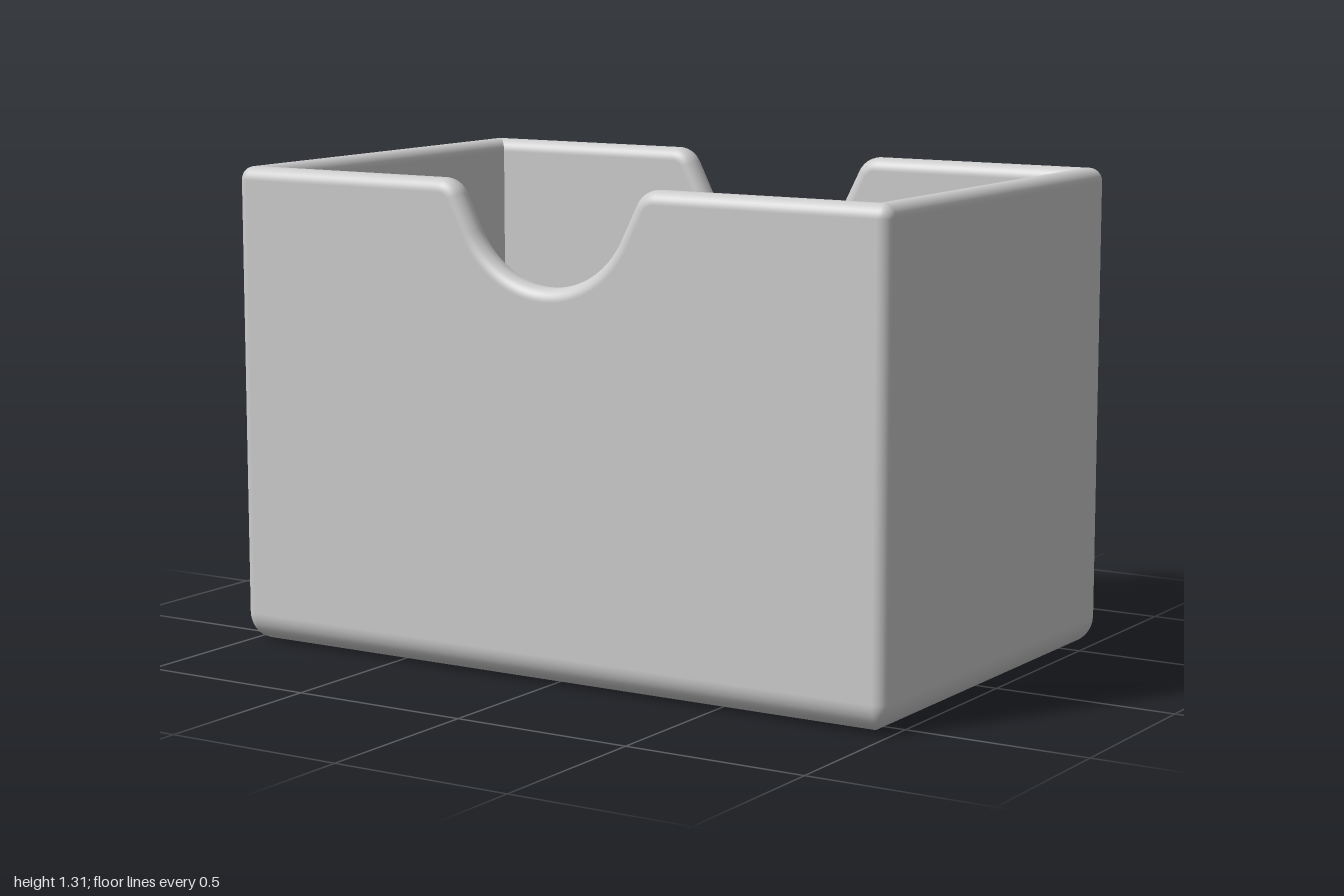
import * as THREE from 'three';

// Overall sizes: half width, half depth, height, wall, floor
const HW = 1, HD = 0.612, H = 1.31, WALL = 0.077, FLOOR = 0.08;
// Rounding radii: upright edges, rim, underside, inner floor
const EDGE = 0.035, RIM = 0.036, UNDER = 0.08, INNER = 0.025;
const HALF_PI = Math.PI / 2;

// Thumb notch from right to left: points on the rim with their normals
function notchPoints() {
  const slope = THREE.MathUtils.degToRad(63);
  const R = 0.25, r = 0.07, cy = 1.293;
  // Place the lip's centre so that a straight slope is tangent to both arcs
  const lipY = H - r;
  const dy = lipY + r * Math.cos(slope) - (cy - R * Math.cos(slope));
  const lipX = R * Math.sin(slope) + dy / Math.tan(slope) + r * Math.sin(slope);
  const right = [];
  for (let i = 0; i <= 10; i++) {
    const a = slope * i / 10, nx = -Math.sin(a), ny = Math.cos(a);
    right.push({ x: lipX + nx * r, y: lipY + ny * r, nx, ny });
  }
  for (let i = 0; i <= 20; i++) {
    const a = slope * (1 - i / 20), nx = -Math.sin(a), ny = Math.cos(a);
    right.push({ x: -nx * R, y: cy - ny * R, nx, ny });
  }
  const left = right.slice(0, -1).reverse().map(p => ({ ...p, x: -p.x, nx: -p.nx }));
  return [...right, ...left];
}

// Stations around the box; at(d, h) gives x, z for an inset d and a depth h under the rim
function makeStations() {
  const stations = [];
  const notch = notchPoints();
  for (let k = 0; k < 4; k++) {
    const sx = k === 0 || k === 3 ? 1 : -1, sz = k < 2 ? 1 : -1;
    // Rounded upright edge, turning into a mitre further in
    for (let i = 0; i <= 6; i++) {
      const phi = (k + i / 6) * HALF_PI, ox = Math.cos(phi), oz = Math.sin(phi);
      stations.push({
        ox, oz, rimY: H, nx: 0, ny: 1,
        at: d => {
          const arc = Math.max(EDGE - d, 0), inset = EDGE + Math.max(d - EDGE, 0);
          return [sx * (HW - inset) + ox * arc, sz * (HD - inset) + oz * arc];
        },
      });
    }
    // Notch in the front and back walls
    if (k % 2 === 0) {
      for (const p of notch) {
        stations.push({
          ox: 0, oz: sz, rimY: p.y, nx: sz * p.nx, ny: p.ny,
          at: (d, h) => [sz * (p.x - p.nx * h), sz * (HD - d)],
        });
      }
    }
  }
  return stations;
}

// Wall profile from the underside over the rim to the floor.
// d: inset, y: fixed height or h: depth under the rim, out/up: normal
function makeProfile() {
  const rows = [{ centre: true, y: 0, out: 0, up: -1 }];
  for (let i = 0; i <= 8; i++) {
    const t = HALF_PI * (i / 8 - 1), c = Math.cos(t), s = Math.sin(t);
    rows.push({ d: UNDER * (1 - c), y: UNDER * (1 + s), out: c, up: s });
  }
  for (let i = 0; i <= 16; i++) {
    const t = Math.PI * i / 16, c = Math.cos(t), s = Math.sin(t);
    const d = i <= 8 ? RIM * (1 - c) : WALL - RIM * (1 + c);
    rows.push({ d, h: RIM * (1 - s), out: c, up: s });
  }
  for (let i = 0; i <= 5; i++) {
    const t = HALF_PI * i / 5, c = Math.cos(t), s = Math.sin(t);
    rows.push({ d: WALL + INNER * (1 - c), y: FLOOR + INNER * (1 - s), out: -c, up: s });
  }
  rows.push({ centre: true, y: FLOOR, out: 0, up: 1 });
  return rows;
}

function makeTray() {
  const stations = makeStations(), rows = makeProfile();
  const position = [], normal = [], index = [];
  const n = stations.length;
  for (const row of rows) {
    const onRim = row.h !== undefined;
    for (const s of stations) {
      const h = onRim ? row.h : RIM;
      const [x, z] = row.centre ? [0, 0] : s.at(row.d, h);
      position.push(x, onRim ? s.rimY - s.ny * h : row.y, z);
      const ux = onRim ? s.nx : 0, uy = onRim ? s.ny : 1;
      normal.push(s.ox * row.out + ux * row.up, uy * row.up, s.oz * row.out);
    }
  }
  // Join neighbouring rows, leaving out the faces that collapse at mitres and centres
  const a = new THREE.Vector3(), b = new THREE.Vector3(), c = new THREE.Vector3();
  const addFace = (i, j, k) => {
    a.fromArray(position, i * 3);
    b.fromArray(position, j * 3).sub(a);
    c.fromArray(position, k * 3).sub(a);
    if (b.cross(c).length() > 1e-9) index.push(i, j, k);
  };
  for (let r = 0; r < rows.length - 1; r++) {
    for (let i = 0; i < n; i++) {
      const j = (i + 1) % n, lo = r * n, hi = lo + n;
      addFace(lo + i, hi + i, lo + j);
      addFace(lo + j, hi + i, hi + j);
    }
  }
  const geometry = new THREE.BufferGeometry();
  geometry.setAttribute('position', new THREE.Float32BufferAttribute(position, 3));
  geometry.setAttribute('normal', new THREE.Float32BufferAttribute(normal, 3));
  geometry.setIndex(index);
  return geometry;
}

export function createModel() {
  const grey = new THREE.MeshStandardMaterial({ color: 0xcccccc });
  grey.name = 'light grey';
  const tray = new THREE.Mesh(makeTray(), grey);
  tray.name = 'notchedBox';
  const model = new THREE.Group();
  model.name = 'openBox';
  model.add(tray);
  return model;
}
